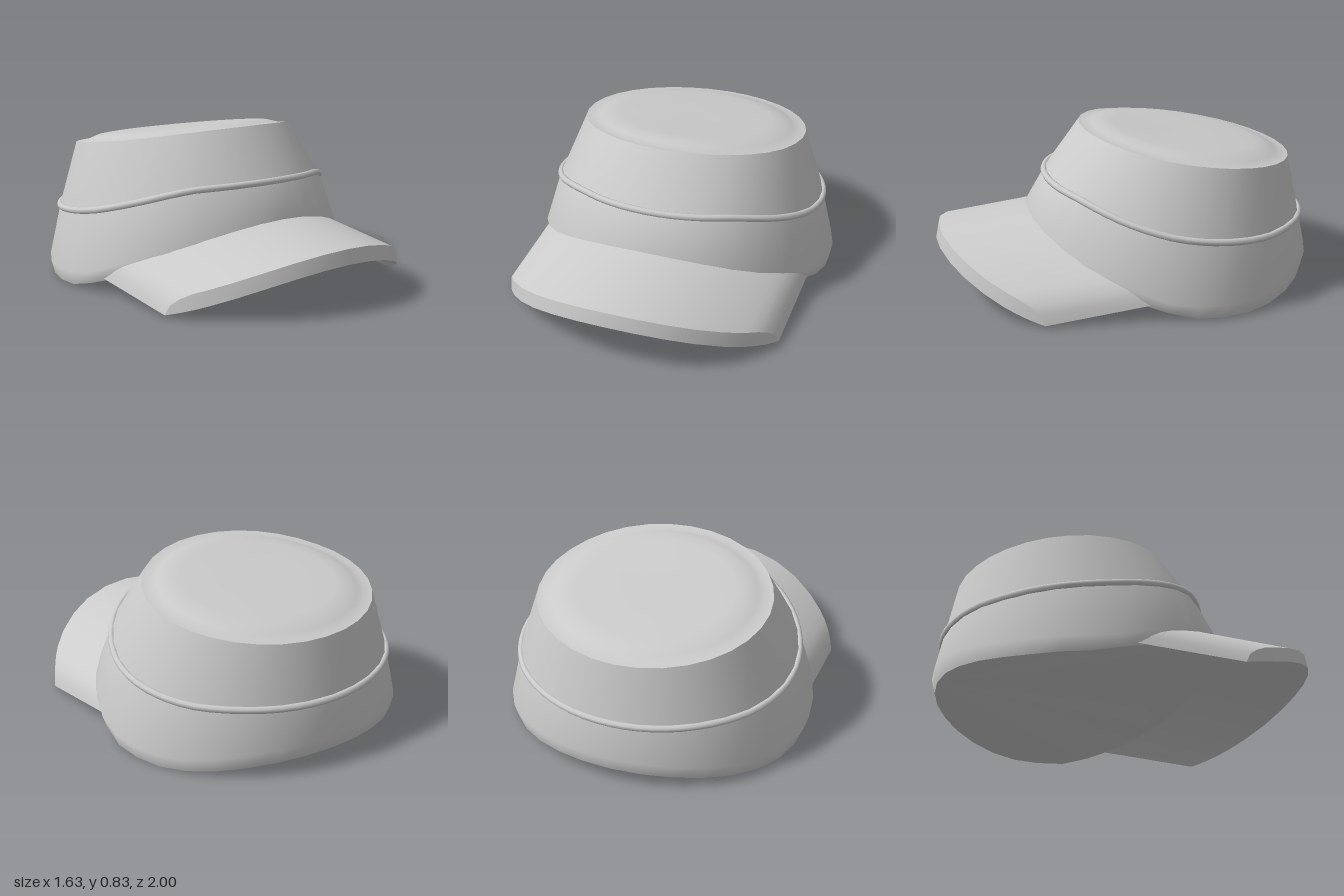
import * as THREE from 'three';
import { mergeGeometries } from 'three/addons/utils/BufferGeometryUtils.js';

const SEG = 32;
const V = (x, y, z) => new THREE.Vector3(x, y, z);

// Smooth skin through rows of points
function loft(rows, closed) {
  const n = rows[0].length, pos = [], idx = [];
  rows.forEach(r => r.forEach(p => pos.push(p.x, p.y, p.z)));
  for (let j = 0; j < rows.length - 1; j++) {
    for (let i = 0; i < (closed ? n : n - 1); i++) {
      const k = (i + 1) % n, a = j * n + i, b = j * n + k;
      idx.push(a, b, b + n, a, b + n, a + n);
    }
  }
  const g = new THREE.BufferGeometry();
  g.setAttribute('position', new THREE.Float32BufferAttribute(pos, 3));
  g.setIndex(idx);
  g.computeVertexNormals();
  return g;
}

// Height looked up along the front-back direction: pairs of [c, y], c = -1 back, 1 front
function heightAt(table, c) {
  for (let i = 1; i < table.length; i++) {
    const [c0, y0] = table[i - 1], [c1, y1] = table[i];
    if (c <= c1 + 1e-6) return y0 + (y1 - y0) * (c - c0) / (c1 - c0);
  }
  return table[table.length - 1][1];
}

const hem = { rx: 0.795, rz: 0.736, cz: -0.245,
  y: [[-1, 0.09], [-0.8, 0.05], [-0.6, 0.02], [-0.34, 0.004], [0, 0.015], [0.2, 0.05], [0.4, 0.095], [0.7, 0.18], [0.87, 0.25], [1, 0.315]] };
const base = { rx: 0.815, rz: 0.758, cz: -0.242,
  y: [[-1, 0.165], [-0.6, 0.09], [-0.34, 0.075], [0, 0.085], [0.2, 0.11], [0.4, 0.165], [0.7, 0.255], [0.87, 0.325], [1, 0.39]] };
const waist = { rx: 0.735, rz: 0.686, cz: -0.274,
  y: [[-1, 0.355], [-0.75, 0.363], [-0.6, 0.36], [-0.32, 0.372], [-0.04, 0.392], [0.25, 0.425], [0.53, 0.48], [0.82, 0.55], [1, 0.567]] };
const rim = { rx: 0.607, rz: 0.56, cz: -0.337,
  y: [[-1, 0.66], [0, 0.737], [0.45, 0.772], [1, 0.832]] };

// Point of a ring; angle 0 is the front, turning towards +x
function ringPoint(r, a, s, lift) {
  const c = Math.cos(a) * s;
  return V(r.rx * Math.sin(a) * s, heightAt(r.y, c) + lift, r.cz + r.rz * c);
}
function ring(r, s = 1, lift = 0) {
  return Array.from({ length: SEG }, (_, i) => ringPoint(r, i / SEG * Math.PI * 2, s, lift));
}

// Visor surface rows, sampled across its width
function visorGeometry() {
  const half = [0, 0.15, 0.3, 0.43, 0.55, 0.635, 0.68, 0.715, 0.74, 0.755];
  const xs = [...half.slice(1).reverse().map(x => -x), ...half];
  const sag = x => 0.4 * x * x;
  const thick = x => {
    const t = Math.max(0, (Math.abs(x) - 0.67) / 0.085);
    return 0.075 * Math.sqrt(Math.max(0, 1 - t * t));
  };
  const outerZ = x => 0.163 + Math.sqrt(0.827 ** 2 - x * x);
  // Inner edge sinks a little into the wall
  const innerZ = x => hem.cz - 0.02 + hem.rz * Math.sqrt(1 - (x / hem.rx) ** 2);
  const innerLow = xs.map(x => V(x, 0.315 - sag(x), innerZ(x)));
  const outerLow = xs.map(x => V(x, 0.245 - sag(x), outerZ(x) + 0.01));
  const outerTop = xs.map(x => V(x, 0.245 - sag(x) + thick(x), outerZ(x) + 0.01 - 0.2 * thick(x)));
  const innerTop = xs.map(x => V(x, 0.317 - sag(x) + thick(x), innerZ(x)));
  return mergeGeometries([
    loft([innerLow, outerLow], false),
    loft([outerLow, outerTop], false),
    loft([outerTop, innerTop], false),
  ]);
}

export function createModel() {
  const group = new THREE.Group();
  const material = new THREE.MeshStandardMaterial({ color: 0xcccccc });
  const add = (name, geometry) => {
    const mesh = new THREE.Mesh(geometry, material);
    mesh.name = name;
    group.add(mesh);
  };

  // Tapered wall of the cap
  add('crownWall', loft([ring(hem), ring(base), ring(waist), ring(rim)], true));

  // Top with a softly raised middle
  const steps = [[1, 0], [0.93, 0], [0.87, 0.012], [0.79, 0.028], [0.68, 0.034], [0.35, 0.036], [0, 0.036]];
  add('crownTop', loft(steps.map(([s, lift]) => ring(rim, s, lift)), true));

  // Closing face underneath, fanned out from a point at the back
  const hemRing = ring(hem);
  const apex = hemRing[SEG / 2 + 1];
  add('underside', loft([hemRing.map(() => apex), hemRing], true));

  // Piping around the waist
  const path = new THREE.CatmullRomCurve3(ring(waist), true);
  add('piping', new THREE.TubeGeometry(path, 64, 0.018, 8, true));

  add('visor', visorGeometry());
  return group;
}
